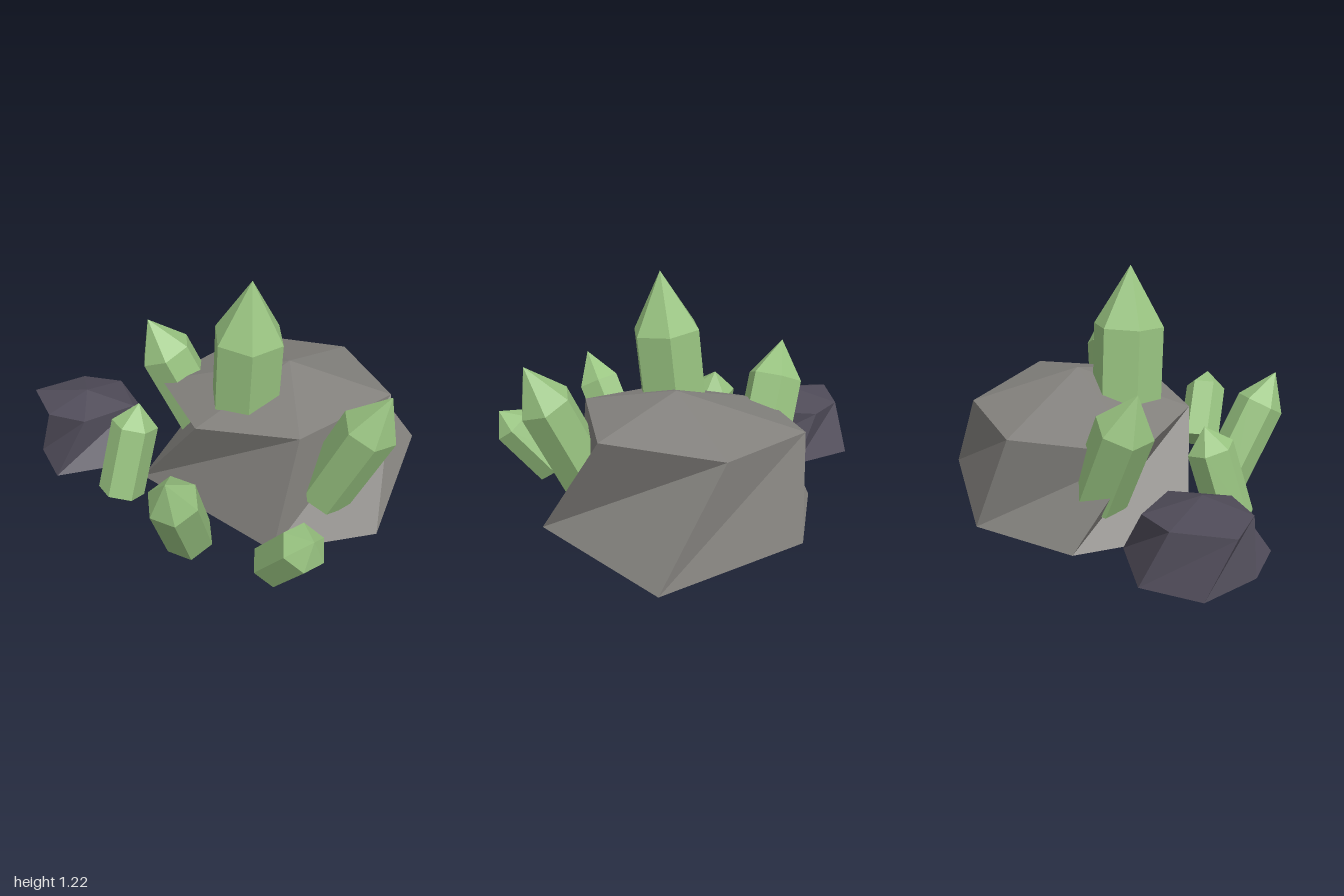
import * as THREE from 'three';

const mat = (name, color) => {
  const m = new THREE.MeshStandardMaterial({ color, flatShading: true });
  m.name = name;
  return m;
};

// Faceted boulder: interleaved lower and upper rings joined by creased sides, plus a peak
function boulder(name, baseY, base, top, peak, material) {
  const n = base.length;
  const b = base.map(([x, z]) => [x, baseY, z]);
  const c = [0, 1, 2].map((k) => b.reduce((s, p) => s + p[k], 0) / n);
  const pos = [];
  for (let i = 0; i < n; i++) {
    const j = (i + 1) % n;
    pos.push(...top[i], ...top[j], ...b[j]); // side, overhanging
    pos.push(...b[i], ...top[i], ...b[j]); // side, sloping
    pos.push(...peak, ...top[j], ...top[i]); // crown
    pos.push(...c, ...b[i], ...b[j]); // underside
  }
  const g = new THREE.BufferGeometry();
  g.setAttribute('position', new THREE.Float32BufferAttribute(pos, 3));
  g.computeVertexNormals();
  const mesh = new THREE.Mesh(g, material);
  mesh.name = name;
  return mesh;
}

// Six-sided crystal from foot to tip; body is the share taken by the straight shaft
function crystal(name, foot, tip, r, body, roll, material) {
  const a = new THREE.Vector3(...foot);
  const dir = new THREE.Vector3(...tip).sub(a);
  const h = dir.length();
  const profile = [[0, 0], [r, 0], [r, h * body], [0, h]].map(([x, y]) => new THREE.Vector2(x, y));
  const mesh = new THREE.Mesh(new THREE.LatheGeometry(profile, 6, roll), material);
  mesh.position.copy(a);
  mesh.quaternion.setFromUnitVectors(new THREE.Vector3(0, 1, 0), dir.normalize());
  mesh.name = name;
  return mesh;
}

export function createModel() {
  const group = new THREE.Group();
  group.name = 'crystalRocks';
  const stone = mat('grey stone', 0x83817d);
  const slate = mat('dark slate', 0x4f4b58);
  const green = mat('green crystal', 0x99c481);

  // Rocks
  group.add(boulder('mainRock', 0,
    [[0.26, -0.92], [0.77, -0.19], [0.57, 0.3], [-0.31, 0.51], [-0.64, 0.02], [-0.48, -0.52]],
    [[-0.08, 0.51, -0.67], [0.49, 0.56, -0.49], [0.53, 0.56, 0.12],
      [0.11, 0.51, 0.43], [-0.44, 0.46, 0.29], [-0.52, 0.5, -0.33]],
    [0.09, 0.68, -0.155], stone));
  group.add(boulder('smallRock', 0.07,
    [[-0.63, 0.26], [-0.33, 0.47], [-0.49, 0.92], [-0.75, 0.88], [-1.0, 0.69], [-0.95, 0.4]],
    [[-0.76, 0.32, 0.37], [-0.5, 0.32, 0.44], [-0.5, 0.33, 0.73],
      [-0.67, 0.33, 0.85], [-0.92, 0.34, 0.81], [-0.91, 0.33, 0.52]],
    [-0.67, 0.4, 0.62], slate));

  // Crystals: name, foot, tip, radius, shaft share, roll
  [
    ['topCrystal', [0.075, 0.55, 0.11], [0.14, 1.22, 0.11], 0.18, 0.55, 0],
    ['leftTallCrystal', [0.52, 0.17, -0.05], [0.82, 0.835, -0.17], 0.14, 0.7, 0],
    ['rightCrystal', [-0.375, 0.19, 0.08], [-0.535, 0.785, 0.3], 0.145, 0.69, 0],
    ['frontLeftCrystal', [0.3, 0.06, 0.605], [0.5, 0.6, 0.83], 0.125, 0.7, 0],
    ['frontRightCrystal', [-0.195, 0.065, 0.7], [-0.21, 0.535, 0.555], 0.117, 0.77, 0.45],
    ['leftLeaningCrystal', [0.71, 0.08, 0.4], [0.995, 0.41, 0.4], 0.112, 0.76, 0],
  ].forEach((c) => group.add(crystal(...c, green)));

  return group;
}
